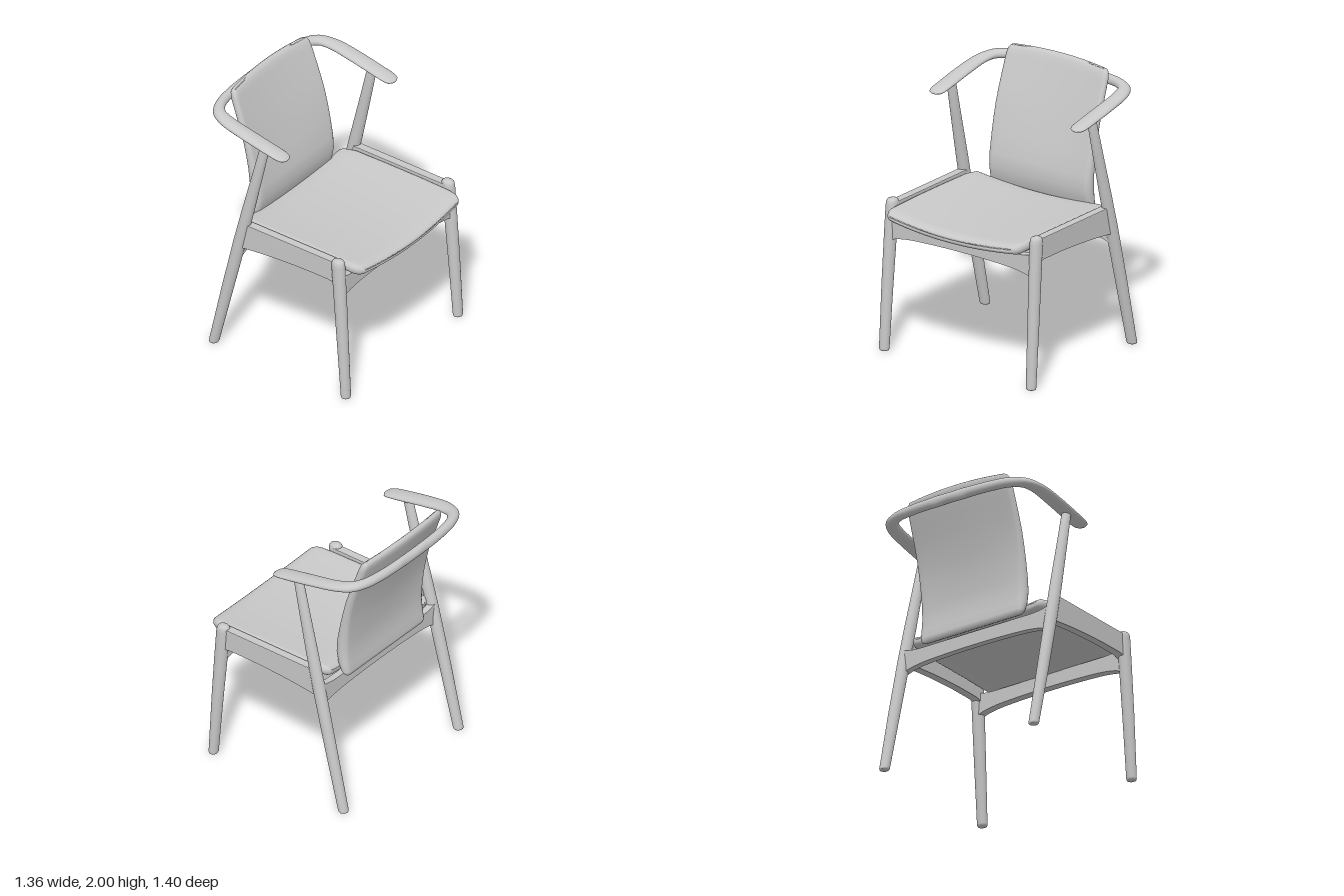
import * as THREE from 'three';

const grey = new THREE.MeshStandardMaterial({ color: 0xc8c8c8 });
grey.name = 'plain grey';

// Skin a list of equal-length rings into a closed smooth surface
function loft(rings) {
  const n = rings[0].length, pos = [], idx = [];
  for (const ring of rings) for (const p of ring) pos.push(p.x, p.y, p.z);
  for (let i = 0; i < rings.length - 1; i++) {
    for (let j = 0; j < n; j++) {
      const a = i * n + j, b = i * n + (j + 1) % n;
      idx.push(a, b, a + n, b, b + n, a + n);
    }
  }
  [0, rings.length - 1].forEach((r, k) => {
    const c = rings[r].reduce((s, p) => s.add(p), new THREE.Vector3()).divideScalar(n);
    const ci = pos.length / 3;
    pos.push(c.x, c.y, c.z);
    for (let j = 0; j < n; j++) {
      const a = r * n + j, b = r * n + (j + 1) % n;
      if (k) idx.push(a, b, ci); else idx.push(b, a, ci);
    }
  });
  // Turn the faces outward if the enclosed volume is negative
  const v = i => new THREE.Vector3(pos[i * 3], pos[i * 3 + 1], pos[i * 3 + 2]);
  let volume = 0;
  for (let i = 0; i < idx.length; i += 3) volume += v(idx[i]).dot(v(idx[i + 1]).cross(v(idx[i + 2])));
  if (volume < 0) idx.reverse();
  const g = new THREE.BufferGeometry();
  g.setAttribute('position', new THREE.Float32BufferAttribute(pos, 3));
  g.setIndex(idx);
  g.computeVertexNormals();
  return g;
}

// Ellipse ring around c, spanned by two half-axis vectors
function ellipse(c, u, v, n = 24) {
  return Array.from({ length: n }, (_, i) => {
    const a = i / n * Math.PI * 2;
    return c.clone().addScaledVector(u, Math.cos(a)).addScaledVector(v, Math.sin(a));
  });
}

// Flat outline with round ends: half width w, half thickness t
function stadium(w, t) {
  const out = [], m = 20, k = 8;
  for (const s of [1, -1]) {
    for (let i = 0; i < m; i++) out.push([s * (w - t) * (2 * i / m - 1), -s * t]);
    for (let i = 0; i < k; i++) {
      const a = -Math.PI / 2 + i / k * Math.PI;
      out.push([s * (w - t + t * Math.cos(a)), s * t * Math.sin(a)]);
    }
  }
  return out;
}

// Legs from [y, x, z, rx, rz] sections
function leg(sections, side) {
  return loft(sections.map(([y, x, z, rx, rz]) => ellipse(
    new THREE.Vector3(side * x, y, z), new THREE.Vector3(rx, 0, 0), new THREE.Vector3(0, 0, rz))));
}

// Rail running left to right, arched below and flared at the ends
function crossRail(z, depth) {
  const s = new THREE.Shape();
  s.moveTo(-0.62, 0.81);
  s.quadraticCurveTo(-0.56, 0.842, -0.4, 0.852);
  s.quadraticCurveTo(0, 0.872, 0.4, 0.852);
  s.quadraticCurveTo(0.56, 0.842, 0.62, 0.81);
  s.lineTo(0.62, 0.985);
  s.quadraticCurveTo(0.56, 0.962, 0.45, 0.962);
  s.lineTo(-0.45, 0.962);
  s.quadraticCurveTo(-0.56, 0.962, -0.62, 0.985);
  const g = new THREE.ExtrudeGeometry(s, { depth, bevelEnabled: false, curveSegments: 12 });
  return g.translate(0, 0, z - depth / 2);
}

// Rail running front to back beside the seat
function sideRail(side) {
  const s = new THREE.Shape();
  s.moveTo(0.51, 0.91);
  s.quadraticCurveTo(0.48, 0.932, 0.42, 0.932);
  s.lineTo(0.25, 0.932);
  s.quadraticCurveTo(-0.1, 0.922, -0.34, 0.885);
  s.lineTo(-0.28, 1.085);
  s.lineTo(0.51, 1.085);
  const g = new THREE.ExtrudeGeometry(s, {
    depth: 0.05, bevelThickness: 0.007, bevelSize: 0.005, bevelSegments: 2, curveSegments: 12,
  });
  return g.rotateY(-Math.PI / 2).translate(side * 0.62 + 0.025, 0, 0);
}

// Seat cushion: sections along z, dished across the width
function seat() {
  const sections = [
    [-0.366, 0.52, 0.008], [-0.36, 0.545, 0.025], [-0.335, 0.565, 0.038], [-0.25, 0.588, 0.041],
    [0, 0.592, 0.041], [0.3, 0.592, 0.041], [0.56, 0.592, 0.041], [0.62, 0.59, 0.041],
    [0.655, 0.582, 0.038], [0.68, 0.565, 0.029], [0.693, 0.545, 0.017], [0.697, 0.53, 0.005],
  ];
  return loft(sections.map(([z, w, t]) => stadium(w, t).map(([x, y]) => {
    const q = (x / 0.59) ** 2, front = THREE.MathUtils.smoothstep(z, 0.3, 0.69);
    return new THREE.Vector3(x, 1.005 + y + 0.04 * q - front * 0.008, z - 0.028 * q * front);
  })));
}

// Backrest: sections along y, wrapping forward towards the top corners
function backrest() {
  const sections = [
    [0.963, -0.41, 0.405, 0.008], [0.972, -0.407, 0.427, 0.024], [1.0, -0.4, 0.441, 0.036],
    [1.06, -0.382, 0.445, 0.045], [1.15, -0.37, 0.446, 0.05], [1.25, -0.377, 0.446, 0.047],
    [1.4, -0.41, 0.446, 0.037], [1.5, -0.438, 0.446, 0.034], [1.6, -0.468, 0.446, 0.032],
    [1.7, -0.501, 0.445, 0.031], [1.8, -0.536, 0.444, 0.031], [1.93, -0.582, 0.441, 0.031],
    [1.97, -0.594, 0.434, 0.028], [1.99, -0.599, 0.42, 0.018], [1.998, -0.6, 0.4, 0.005],
  ];
  return loft(sections.map(([y, z, w, t]) => stadium(w, t).map(([x, d]) => {
    const q = (x / 0.445) ** 2, k = THREE.MathUtils.smoothstep(y, 1.15, 1.7);
    return new THREE.Vector3(x, y - 0.016 * q * k, z + d + 0.034 * q * k);
  })));
}

// Bent arm rail: slim behind the backrest, broad and flat at the hand rests
function armRail() {
  const half = [ // x, y, z, half width, half height
    [0.17, 1.877, -0.666, 0.032, 0.038], [0.34, 1.877, -0.655, 0.033, 0.037],
    [0.48, 1.876, -0.628, 0.036, 0.035], [0.57, 1.87, -0.571, 0.045, 0.033],
    [0.608, 1.856, -0.47, 0.055, 0.03], [0.618, 1.825, -0.3, 0.06, 0.028],
    [0.618, 1.785, -0.1, 0.062, 0.025], [0.617, 1.765, 0, 0.061, 0.02],
    [0.616, 1.756, 0.04, 0.05, 0.014], [0.615, 1.752, 0.058, 0.022, 0.006],
  ];
  const all = [
    ...half.map(([x, ...r]) => [-x, ...r]).reverse(),
    [0, 1.877, -0.668, 0.032, 0.038], ...half,
  ];
  const path = new THREE.CatmullRomCurve3(all.map(a => new THREE.Vector3(a[0], a[1], a[2])));
  const size = new THREE.CatmullRomCurve3(all.map(a => new THREE.Vector3(a[3], a[4], 0)));
  const rings = [], steps = 100;
  for (let i = 0; i <= steps; i++) {
    const t = i / steps, dir = path.getTangent(t), s = size.getPoint(t);
    const across = new THREE.Vector3(0, 1, 0).cross(dir).normalize();
    const up = dir.clone().cross(across);
    rings.push(ellipse(path.getPoint(t), across.multiplyScalar(s.x), up.multiplyScalar(s.y)));
  }
  return loft(rings);
}

export function createModel() {
  const chair = new THREE.Group();
  chair.name = 'armchair';
  const add = (name, geometry) => {
    const mesh = new THREE.Mesh(geometry, grey);
    mesh.name = name;
    chair.add(mesh);
  };

  const frontLeg = [
    [0, 0.643, 0.59, 0.028, 0.024], [0.004, 0.643, 0.59, 0.035, 0.031], [0.015, 0.643, 0.589, 0.038, 0.034],
    [0.5, 0.639, 0.556, 0.042, 0.043], [0.85, 0.634, 0.53, 0.043, 0.049], [1.06, 0.631, 0.514, 0.043, 0.051],
    [1.09, 0.63, 0.513, 0.041, 0.048], [1.105, 0.63, 0.512, 0.032, 0.038], [1.111, 0.63, 0.512, 0.015, 0.018],
  ];
  const backLeg = [
    [0, 0.643, -0.565, 0.028, 0.027], [0.004, 0.643, -0.564, 0.035, 0.033], [0.015, 0.643, -0.561, 0.038, 0.036],
    [0.5, 0.64, -0.445, 0.041, 0.044], [0.93, 0.634, -0.342, 0.042, 0.048], [1.2, 0.628, -0.277, 0.04, 0.046],
    [1.5, 0.621, -0.205, 0.035, 0.041], [1.79, 0.614, -0.137, 0.031, 0.036],
  ];
  for (const [label, side] of [['left', 1], ['right', -1]]) {
    add(label + 'FrontLeg', leg(frontLeg, side));
    add(label + 'BackLeg', leg(backLeg, side));
    add(label + 'SideRail', sideRail(side));
  }
  add('frontRail', crossRail(0.525, 0.06));
  add('backRail', crossRail(-0.35, 0.05));
  add('seat', seat());
  add('backrest', backrest());
  add('armRail', armRail());
  return chair;
}
